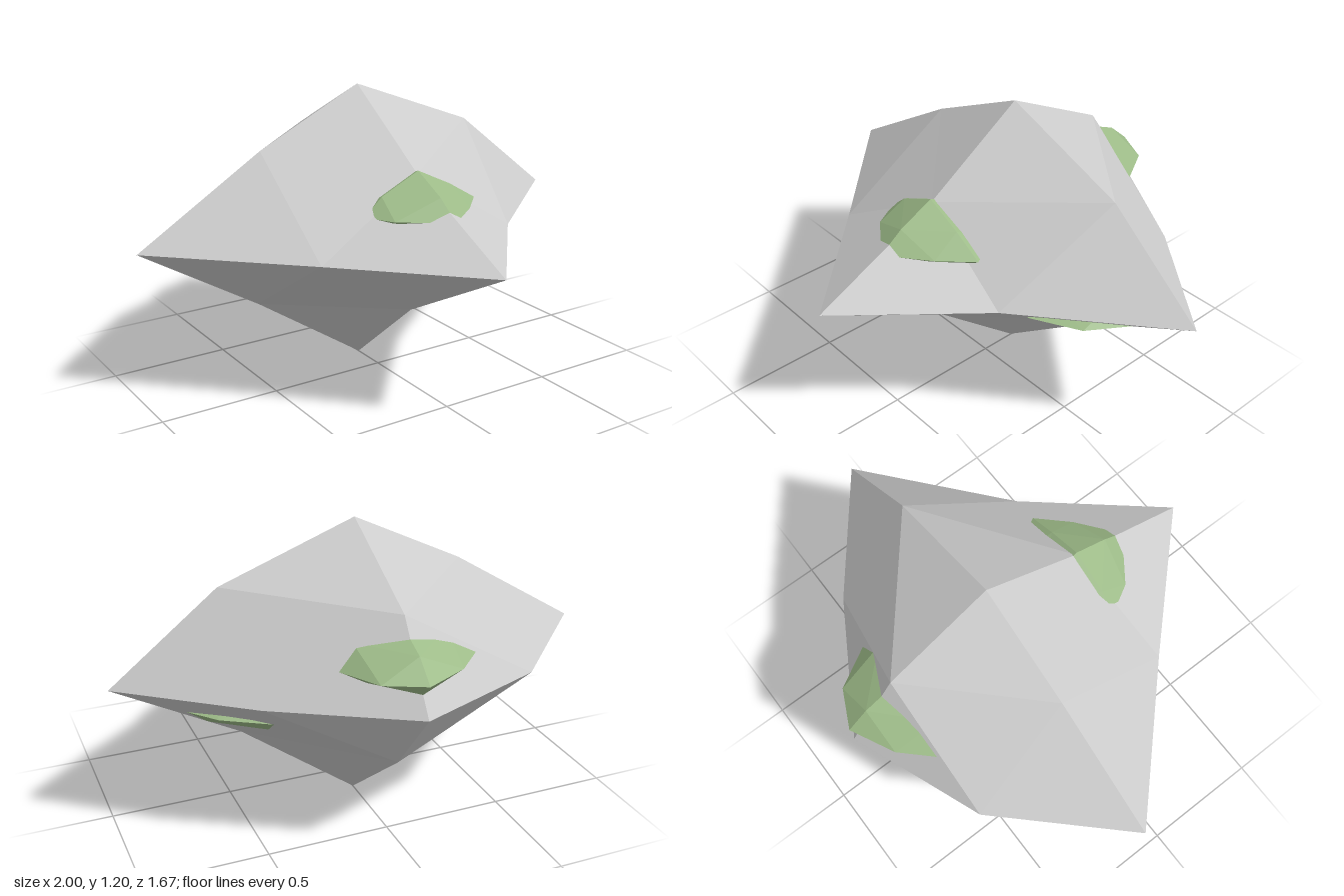
import * as THREE from 'three';

// Irregular octahedron split once: six corners on the axes and twelve edge midpoints.
// x, y, z: corner distances [negative, positive].
// xy, yz, xz: midpoint offsets for signs [--, -+, +-, ++].
function facetedStone(name, color, center, s) {
  const axes = ['x', 'y', 'z'];
  const corner = (axis, side) => {
    const p = [0, 0, 0];
    p[axis] = s[axes[axis]][side] * (side ? 1 : -1);
    return p;
  };
  const mid = (a, sa, b, sb) => {
    const p = [0, 0, 0];
    const [u, v] = s[axes[a] + axes[b]][sa * 2 + sb];
    p[a] = u * (sa ? 1 : -1);
    p[b] = v * (sb ? 1 : -1);
    return p;
  };

  const positions = [];
  for (let i = 0; i < 2; i++)
    for (let j = 0; j < 2; j++)
      for (let k = 0; k < 2; k++) {
        const X = corner(0, i), Y = corner(1, j), Z = corner(2, k);
        const XY = mid(0, i, 1, j), YZ = mid(1, j, 2, k), XZ = mid(0, i, 2, k);
        const outward = (i + j + k) % 2 === 1;
        for (const [a, b, c] of [[X, XY, XZ], [XY, Y, YZ], [XZ, YZ, Z], [XY, YZ, XZ]])
          positions.push(...a, ...(outward ? b : c), ...(outward ? c : b));
      }

  const geometry = new THREE.BufferGeometry();
  geometry.setAttribute('position', new THREE.Float32BufferAttribute(positions, 3));
  geometry.computeVertexNormals();
  const mesh = new THREE.Mesh(geometry, new THREE.MeshStandardMaterial({ color, flatShading: true }));
  mesh.name = name;
  mesh.position.set(...center);
  return mesh;
}

export function createModel() {
  const group = new THREE.Group();
  group.name = 'mossyRock';
  const moss = 0x9dbb88;

  // Main boulder
  group.add(facetedStone('rock', 0xcccccc, [0, 0.64, -0.155], {
    x: [1, 1], y: [0.64, 0.56], z: [0.68, 0.99],
    xy: [[0.49, 0.31], [0.46, 0.335], [0.49, 0.275], [0.56, 0.35]],
    yz: [[0.295, 0.435], [0.31, 0.4], [0.325, 0.46], [0.27, 0.435]],
    xz: [[0.55, 0.465], [0.48, 0.505], [0.52, 0.375], [0.435, 0.475]],
  }));

  // Moss clump on the upper back edge
  group.add(facetedStone('backMoss', moss, [0, 0.775, -0.56], {
    x: [0.36, 0.27], y: [0.1, 0.16], z: [0.275, 0.27],
    xy: [[0.2, 0.06], [0.2, 0.09], [0.18, 0.06], [0.18, 0.09]],
    yz: [[0.055, 0.22], [0.055, 0.2], [0.08, 0.185], [0.08, 0.2]],
    xz: [[0.18, 0.185], [0.2, 0.2], [0.155, 0.2], [0.2, 0.2]],
  }));

  // Moss clump on the upper front edge
  group.add(facetedStone('frontMoss', moss, [0, 0.775, 0.285], {
    x: [0.25, 0.28], y: [0.12, 0.15], z: [0.26, 0.25],
    xy: [[0.18, 0.07], [0.17, 0.07], [0.18, 0.07], [0.155, 0.075]],
    yz: [[0.07, 0.18], [0.07, 0.17], [0.08, 0.18], [0.075, 0.15]],
    xz: [[0.18, 0.18], [0.185, 0.115], [0.18, 0.18], [0.165, 0.12]],
  }));

  // Moss clump under the left point
  group.add(facetedStone('sideMoss', moss, [0.42, 0.515, -0.155], {
    x: [0.28, 0.33], y: [0.13, 0.13], z: [0.28, 0.305],
    xy: [[0.19, 0.07], [0.19, 0.07], [0.2, 0.08], [0.2, 0.07]],
    yz: [[0.07, 0.18], [0.06, 0.22], [0.07, 0.18], [0.05, 0.18]],
    xz: [[0.19, 0.18], [0.19, 0.2], [0.2, 0.155], [0.2, 0.2]],
  }));

  return group;
}
